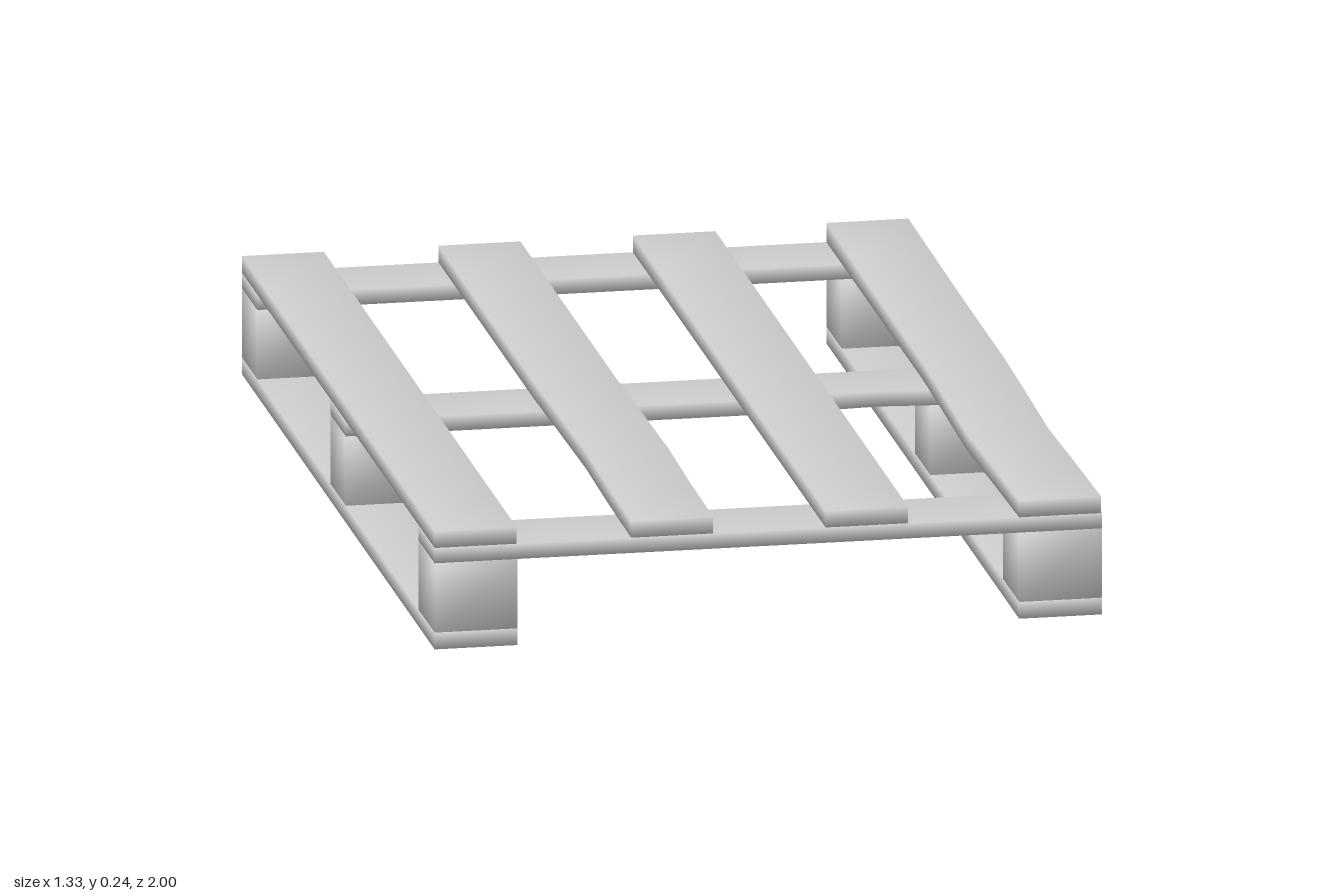
import * as THREE from 'three';
import { mergeVertices } from 'three/addons/utils/BufferGeometryUtils.js';

const material = new THREE.MeshStandardMaterial({ color: 0xcccccc });

// Box given by its limits, with shared corners (soft shading) and an optional wear rule
function timber(name, [x0, x1], [y0, y1], [z0, z1], segX, segZ, wear) {
  let geo = new THREE.BoxGeometry(x1 - x0, y1 - y0, z1 - z0, segX, 1, segZ);
  geo.translate((x0 + x1) / 2, (y0 + y1) / 2, (z0 + z1) / 2);
  geo.deleteAttribute('normal');
  geo.deleteAttribute('uv');
  geo = mergeVertices(geo, 1e-4);
  if (wear) {
    const pos = geo.attributes.position;
    const v = new THREE.Vector3();
    for (let i = 0; i < pos.count; i++) {
      v.fromBufferAttribute(pos, i);
      wear(v);
      pos.setXYZ(i, v.x, v.y, v.z);
    }
  }
  geo.computeVertexNormals();
  const mesh = new THREE.Mesh(geo, material);
  mesh.name = name;
  return mesh;
}

// Smooth bump of width w around c
const bump = (t, c, w) => Math.max(0, 1 - Math.abs(t - c) / w);

export function createModel() {
  const pallet = new THREE.Group();
  pallet.name = 'pallet';

  const sides = [[-0.665, -0.5], [0.498, 0.663]];
  const rows = [[-1, -0.84], [-0.083, 0.078], [0.832, 1]];

  // Bottom runners and the blocks standing on them
  for (const side of sides) {
    pallet.add(timber('bottomRunner', side, [0, 0.034], [-1, 1], 1, 6));
    for (const row of rows) pallet.add(timber('block', side, [0.034, 0.175], row, 1, 1));
  }

  // Cross boards, the middle one chipped on its front edge
  rows.forEach((row, i) => {
    const chip = (v) => { if (v.z > 0) v.z -= 0.017 * bump(v.x, 0.37, 0.14); };
    pallet.add(timber('crossBoard', [-0.665, 0.663], [0.175, 0.206], row, 10, 1, i === 1 ? chip : null));
  });

  // Deck boards, two of them slightly warped
  const deck = [
    [[-0.665, -0.502], null],
    [[-0.274, -0.111], (v) => { v.x += 0.007 * bump(v.z, 0.45, 0.4); }],
    [[0.113, 0.277], null],
    [[0.498, 0.661], (v) => {
      v.x -= 0.01 * bump(v.z, 0.5, 0.45);
      if (v.y > 0.22) v.y += 0.005 * bump(v.z, -1, 0.6);
    }],
  ];
  for (const [span, wear] of deck) {
    pallet.add(timber('deckBoard', span, [0.206, 0.24], [-1, 1], 1, 8, wear));
  }
  return pallet;
}
